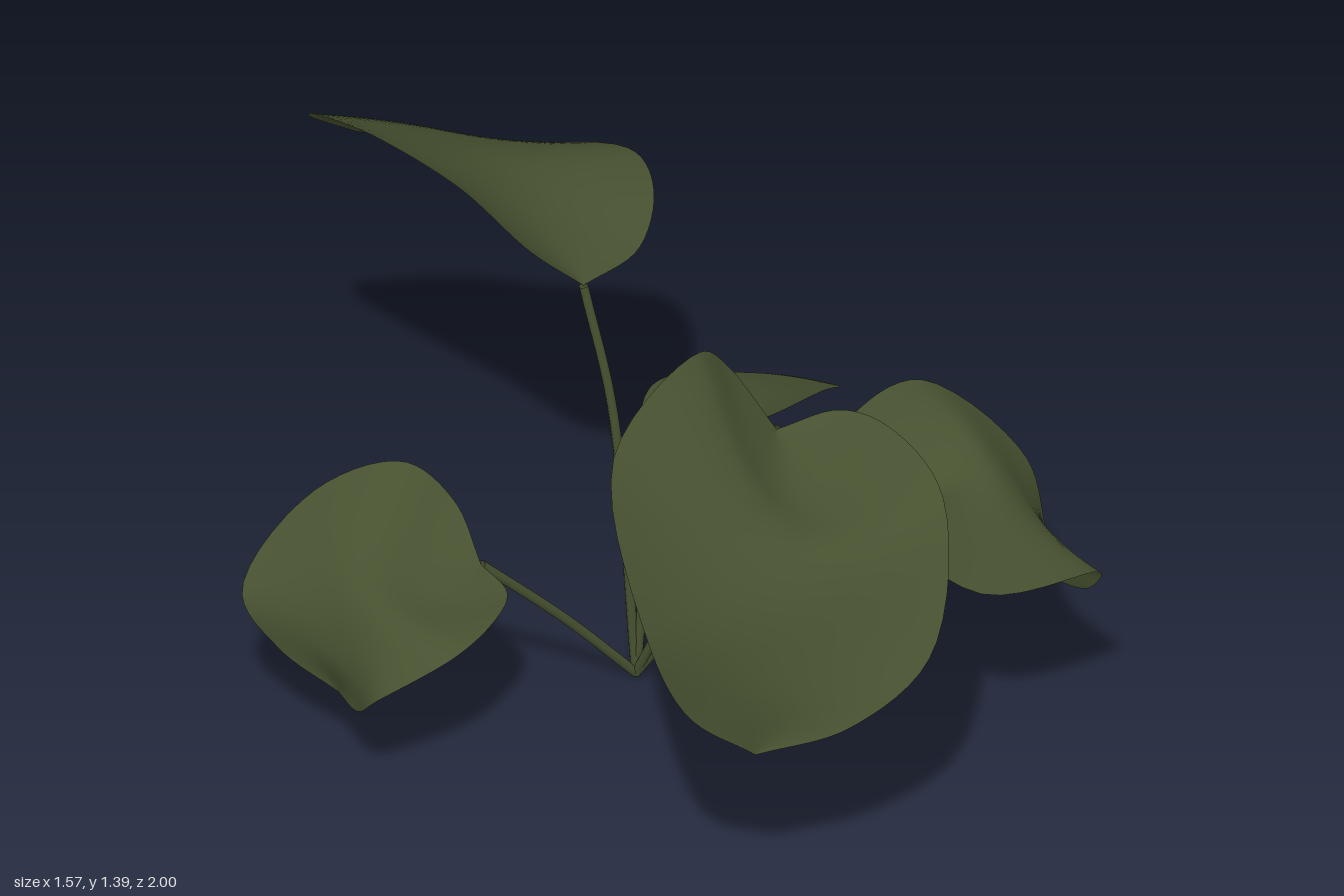
import * as THREE from 'three';
import { ParametricGeometry } from 'three/addons/geometries/ParametricGeometry.js';

const green = new THREE.MeshStandardMaterial({ color: 0x475130, side: THREE.DoubleSide });
green.name = 'leafGreen';

const vec = (p) => new THREE.Vector3(...p);
const root = vec([0.03, 0, -0.1]);

// Point halfway between a and b, pushed outward from the given centre to round the outline
const shoulder = (a, b, centre) => a.clone().lerp(b, 0.5).sub(centre).multiplyScalar(1.15).add(centre);

// Rim from notch to tip through three points, rounded at both ends
function rim(notch, side, tip, centre) {
  const pts = side.map(vec);
  return new THREE.CatmullRomCurve3([
    notch, shoulder(notch, pts[0], centre), ...pts, shoulder(pts[2], tip, centre), tip,
  ]);
}

// Midrib: straight to the blade centre, then curling over towards the tip
function midrib(notch, centre, tip) {
  return new THREE.CatmullRomCurve3([
    notch, notch.clone().lerp(centre, 0.5), centre, shoulder(centre, tip, notch), tip,
  ]);
}

// Blade: at each step from notch to tip, a parabola runs through left rim, midrib and right rim
function bladeGeometry(notch, tip, centre, left, right) {
  const l = rim(notch, left, tip, centre);
  const r = rim(notch, right, tip, centre);
  const m = midrib(notch, centre, tip);
  const geometry = new ParametricGeometry((u, v, target) => {
    const s = v * 2 - 1;
    target.set(0, 0, 0)
      .addScaledVector(l.getPoint(u), (s * s - s) / 2)
      .addScaledVector(m.getPoint(u), 1 - s * s)
      .addScaledVector(r.getPoint(u), (s * s + s) / 2);
  }, 40, 20);
  geometry.computeVertexNormals();
  return geometry;
}

function makeLeaf(name, { notch, tip, centre, left, right, bend }) {
  const group = new THREE.Group();
  group.name = name;
  const blade = new THREE.Mesh(bladeGeometry(vec(notch), vec(tip), vec(centre), left, right), green);
  blade.name = 'blade';
  // Stem arches from the shared root to the notch
  const path = new THREE.CatmullRomCurve3([root, vec(bend), vec(notch)]);
  const stem = new THREE.Mesh(new THREE.TubeGeometry(path, 28, 0.011, 8), green);
  stem.name = 'stem';
  group.add(blade, stem);
  return group;
}

export function createModel() {
  const plant = new THREE.Group();
  plant.name = 'leafyPlant';

  // Largest leaf, hanging towards the front
  plant.add(makeLeaf('largeFrontLeaf', {
    notch: [0, 0.97, 0.42], centre: [-0.22, 0.91, 0.74], tip: [-0.45, 0.54, 0.88],
    left: [[-0.17, 1.22, 0.35], [-0.5, 1.14, 0.45], [-0.705, 0.95, 0.8]],
    right: [[0.17, 1, 0.61], [0.14, 0.94, 0.83], [-0.03, 0.68, 0.99]],
    bend: [0.045, 0.7, 0.24],
  }));

  // Tallest leaf, tilted sideways at the back
  plant.add(makeLeaf('tallBackLeaf', {
    notch: [-0.03, 1.03, -0.21], centre: [0, 1.17, -0.58], tip: [-0.02, 1.01, -1],
    left: [[-0.27, 1.33, -0.35], [-0.33, 1.38, -0.56], [-0.29, 1.28, -0.83]],
    right: [[0.31, 1.05, -0.37], [0.37, 1.045, -0.53], [0.23, 0.98, -0.79]],
    bend: [0.005, 0.7, -0.15],
  }));

  // Leaf at the front left with a drooping tip
  plant.add(makeLeaf('leftFrontLeaf', {
    notch: [0.28, 0.57, 0.33], centre: [0.57, 0.6, 0.5], tip: [0.68, 0.32, 0.56],
    left: [[0.4, 0.72, 0.22], [0.6, 0.71, 0.21], [0.785, 0.49, 0.35]],
    right: [[0.17, 0.69, 0.5], [0.31, 0.56, 0.76], [0.6, 0.52, 0.82]],
    bend: [0.11, 0.34, 0.11],
  }));

  // Smallest leaf, at the back left
  plant.add(makeLeaf('leftBackLeaf', {
    notch: [0.1, 0.57, -0.08], centre: [0.35, 0.61, -0.1], tip: [0.6, 0.53, -0.09],
    left: [[0.21, 0.58, -0.28], [0.34, 0.54, -0.34], [0.47, 0.52, -0.28]],
    right: [[0.16, 0.7, 0.08], [0.27, 0.72, 0.11], [0.42, 0.69, 0.08]],
    bend: [0.06, 0.36, -0.09],
  }));

  // Lowest leaf, curling down on the right
  plant.add(makeLeaf('lowRightLeaf', {
    notch: [-0.37, 0.45, -0.16], centre: [-0.66, 0.47, -0.22], tip: [-0.71, 0.21, -0.25],
    left: [[-0.4, 0.62, -0.39], [-0.56, 0.55, -0.51], [-0.78, 0.38, -0.5]],
    right: [[-0.48, 0.45, 0.02], [-0.62, 0.43, 0.05], [-0.78, 0.34, -0.03]],
    bend: [-0.15, 0.215, -0.13],
  }));

  return plant;
}
